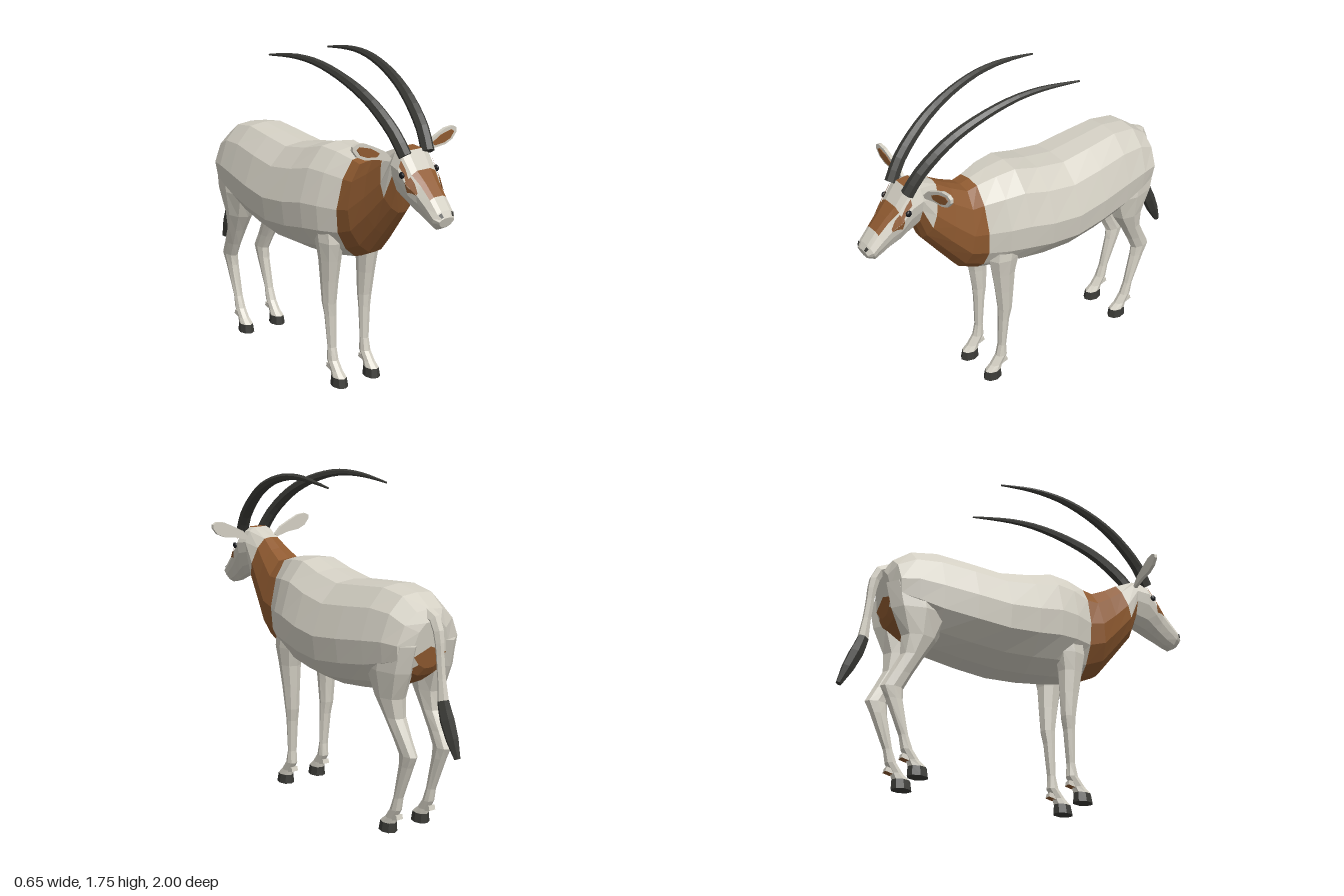
import * as THREE from 'three';

const mat = (name, color, side = THREE.FrontSide) =>
  Object.assign(new THREE.MeshStandardMaterial({ color, flatShading: true, side }), { name });

const V = (x, y, z) => new THREE.Vector3(x, y, z);

// Skin closed rings of points; paint(i, s) gives the material index of a strip cell.
function loft(rings, paint = () => 0, capPaint = () => 0) {
  const n = rings[0].length;
  const tris = [];
  const add = (m, a, b, c) => tris.push({ m, p: [a, b, c] });
  for (let i = 0; i < rings.length - 1; i++) {
    for (let s = 0; s < n; s++) {
      const t = (s + 1) % n, m = paint(i, Math.min(s, n - 1 - s));
      add(m, rings[i][s], rings[i + 1][s], rings[i + 1][t]);
      add(m, rings[i][s], rings[i + 1][t], rings[i][t]);
    }
  }
  [0, rings.length - 1].forEach((e) => {
    const ring = rings[e];
    const mid = ring.reduce((a, p) => a.add(p), V(0, 0, 0)).divideScalar(n);
    for (let s = 0; s < n; s++) {
      const t = (s + 1) % n, m = capPaint(e, Math.min(s, n - 1 - s));
      if (e === 0) add(m, mid, ring[s], ring[t]);
      else add(m, mid, ring[t], ring[s]);
    }
  });
  // turn the faces outward
  const volume = tris.reduce((v, { p }) => v + p[0].dot(p[1].clone().cross(p[2])), 0);
  if (volume < 0) tris.forEach(({ p }) => p.reverse());
  tris.sort((a, b) => a.m - b.m);
  const geo = new THREE.BufferGeometry().setFromPoints(tris.flatMap(({ p }) => p));
  tris.forEach(({ m }, i) => {
    const g = geo.groups[geo.groups.length - 1];
    if (g && g.materialIndex === m) g.count += 3;
    else geo.addGroup(i * 3, 3, m);
  });
  geo.computeVertexNormals();
  return geo;
}

// Half cross-sections: [share of half width, share of the way from top to bottom]
const BODY = [[0, 0], [0.42, 0.02], [0.78, 0.19], [1, 0.48], [0.94, 0.71], [0.62, 0.89], [0.25, 0.99], [0, 1]];
const HEAD = [[0, 0], [0.4, 0], [0.72, 0.08], [1, 0.32], [0.92, 0.55], [0.65, 0.84], [0.3, 1], [0, 1]];

// A symmetric ring from [top z, top y, bottom z, bottom y, half width]
function section([tz, ty, bz, by, w], profile) {
  const half = profile.map(([f, t]) => V(f * w, ty + (by - ty) * t, tz + (bz - tz) * t));
  const other = half.slice(1, -1).reverse().map((p) => V(-p.x, p.y, p.z));
  return [...half, ...other];
}

// A tapering tube along a curve; radii are spread evenly along it.
function taper(points, radii, steps, sides) {
  const curve = new THREE.CatmullRomCurve3(points);
  const { normals, binormals } = curve.computeFrenetFrames(steps);
  const rings = [];
  for (let i = 0; i <= steps; i++) {
    const f = (i / steps) * (radii.length - 1), k = Math.min(Math.floor(f), radii.length - 2);
    const r = THREE.MathUtils.lerp(radii[k], radii[k + 1], f - k);
    const c = curve.getPointAt(i / steps);
    rings.push(Array.from({ length: sides }, (_, s) => {
      const a = (s / sides) * Math.PI * 2;
      return c.clone().addScaledVector(normals[i], Math.cos(a) * r).addScaledVector(binormals[i], Math.sin(a) * r);
    }));
  }
  return loft(rings);
}

const BODY_RINGS = [
  [-0.795, 1.11, -0.765, 0.87, 0.11], [-0.765, 1.165, -0.74, 0.83, 0.195], [-0.67, 1.232, -0.65, 0.77, 0.22],
  [-0.53, 1.255, -0.53, 0.715, 0.237], [-0.35, 1.238, -0.35, 0.685, 0.258], [-0.17, 1.22, -0.17, 0.665, 0.268],
  [0, 1.25, 0, 0.67, 0.26], [0.14, 1.29, 0.14, 0.685, 0.242], [0.25, 1.282, 0.24, 0.7, 0.215], [0.355, 1.258, 0.345, 0.72, 0.165],
];
const NECK_RINGS = [BODY_RINGS[9], [0.41, 1.245, 0.46, 0.775, 0.158], [0.5, 1.29, 0.56, 0.9, 0.13], [0.58, 1.34, 0.67, 1.04, 0.105]];
const HEAD_RINGS = [
  [0.69, 1.385, 0.7, 1.135, 0.1], [0.755, 1.38, 0.77, 1.11, 0.11], [0.82, 1.295, 0.81, 1.09, 0.102],
  [0.87, 1.248, 0.855, 1.068, 0.08], [0.93, 1.188, 0.9, 1.045, 0.07], [0.982, 1.13, 0.945, 1.03, 0.066], [1, 1.1, 0.983, 1.05, 0.046],
];

// Legs: [height, front z, back z, centre x, half width]; the last two rings are the hoof
const FRONT_LEG = [
  [0.95, 0.31, 0.1, 0.12, 0.07], [0.8, 0.325, 0.145, 0.125, 0.066], [0.7, 0.305, 0.168, 0.122, 0.055],
  [0.58, 0.285, 0.175, 0.12, 0.045], [0.45, 0.266, 0.185, 0.117, 0.038], [0.38, 0.262, 0.2, 0.113, 0.033],
  [0.2, 0.262, 0.218, 0.108, 0.026], [0.13, 0.28, 0.212, 0.108, 0.029], [0.08, 0.318, 0.245, 0.108, 0.03],
  [0.05, 0.352, 0.253, 0.108, 0.036], [0, 0.362, 0.25, 0.108, 0.042],
];
const HIND_LEG = [
  [1.0, -0.48, -0.808, 0.125, 0.08], [0.86, -0.46, -0.778, 0.13, 0.082], [0.72, -0.53, -0.718, 0.125, 0.066],
  [0.62, -0.595, -0.718, 0.12, 0.05], [0.52, -0.65, -0.768, 0.115, 0.038], [0.44, -0.69, -0.81, 0.11, 0.033],
  [0.38, -0.688, -0.78, 0.108, 0.031], [0.2, -0.652, -0.702, 0.108, 0.026], [0.13, -0.625, -0.69, 0.108, 0.029],
  [0.08, -0.588, -0.66, 0.108, 0.03], [0.05, -0.55, -0.65, 0.108, 0.036], [0, -0.542, -0.652, 0.108, 0.042],
];

export function createModel() {
  const white = mat('cream coat', 0xd3cfc3);
  const brown = mat('russet coat', 0x8f5a30, THREE.DoubleSide);
  const dark = mat('horn and hoof', 0x3b3b37, THREE.DoubleSide);
  const black = mat('eye', 0x14161b);
  const model = new THREE.Group();
  const put = (name, geo, material, parent = model) => {
    const mesh = new THREE.Mesh(geo, material);
    mesh.name = name;
    parent.add(mesh);
    return mesh;
  };
  const coat = [white, brown];

  // Trunk, with russet between the thighs
  put('body', loft(BODY_RINGS.map((r) => section(r, BODY)),
    (i, m) => (i < 2 && m >= 5 ? 1 : 0), (e, m) => (e === 0 && m >= 4 ? 1 : 0)), coat);
  put('neck', loft(NECK_RINGS.map((r) => section(r, BODY))), brown);

  // Head, with russet throat, forehead spot and blaze
  const headRings = [section(NECK_RINGS[3], BODY), ...HEAD_RINGS.map((r) => section(r, HEAD))];
  put('head', loft(headRings, (i, m) =>
    ((i === 0 && m >= 4) || (i === 1 && m === 0) || ((i === 3 || i === 4) && m <= 1) ? 1 : 0)), coat);

  // A point on the head's skin: u along the rings, v down the section
  const skin = (u, v, side) => {
    const i = Math.min(Math.floor(u), headRings.length - 2), j = Math.floor(v);
    const across = (ring) => ring[j].clone().lerp(ring[j + 1], v - j);
    const p = across(headRings[i]).lerp(across(headRings[i + 1]), u - i);
    return V((p.x + 0.004) * side, p.y + 0.002, p.z + 0.004);
  };
  // A painted strip on the skin from rows of [u, v start, v end]
  const strip = (rows, side) => {
    const pts = [];
    for (let k = 0; k < rows.length - 1; k++) {
      const [a, b] = [rows[k], rows[k + 1]];
      const q = [skin(a[0], a[1], side), skin(a[0], a[2], side), skin(b[0], b[2], side), skin(b[0], b[1], side)];
      const [p0, p1, p2, p3] = side > 0 ? q : [...q].reverse();
      pts.push(p0, p1, p2, p0, p2, p3);
    }
    const geo = new THREE.BufferGeometry().setFromPoints(pts);
    geo.computeVertexNormals();
    return geo;
  };

  const earOutline = [[0.09, 1.335], [0.13, 1.375], [0.19, 1.405], [0.25, 1.432], [0.3, 1.437], [0.322, 1.425], [0.323, 1.405],
    [0.295, 1.37], [0.25, 1.35], [0.18, 1.342], [0.1, 1.32]];
  const earInner = [[0.165, 1.372], [0.22, 1.404], [0.285, 1.421], [0.303, 1.41], [0.28, 1.378], [0.24, 1.362], [0.18, 1.356]];
  const hornPath = [[0.07, 1.36, 0.765], [0.088, 1.46, 0.7], [0.115, 1.59, 0.55], [0.14, 1.67, 0.39], [0.162, 1.722, 0.2],
    [0.175, 1.732, 0.05], [0.184, 1.722, -0.08], [0.188, 1.705, -0.2]];

  for (const side of [1, -1]) {
    const label = side > 0 ? 'left' : 'right';
    const plate = (pts, depth, z) => new THREE.ExtrudeGeometry(
      new THREE.Shape(pts.map(([x, y]) => new THREE.Vector2(x * side, y))), { depth, bevelEnabled: false }).translate(0, 0, z);

    put(label + 'Horn', taper(hornPath.map(([x, y, z]) => V(x * side, y, z)), [0.034, 0.032, 0.027, 0.021, 0.014, 0.005], 18, 7), dark);
    put(label + 'Ear', plate(earOutline, 0.018, 0.67), white);
    put(label + 'InnerEar', plate(earInner, 0.004, 0.688), brown);

    // Face markings
    put(label + 'BrowStripe', strip([[2, 2.3, 2.75], [2.45, 2.3, 2.7], [3, 2.5, 2.95]], side), brown);
    put(label + 'CheekStripe', strip([[2.8, 2.95, 2.98], [3, 2.2, 2.98], [3.5, 2.3, 2.98], [4, 2.75, 2.98]], side), brown);
    put(label + 'CheekPoint', strip([[2.8, 3, 3.25], [3, 3, 3.75], [3.5, 3, 3.3], [4, 3, 3.05]], side), brown);
    put(label + 'Nostril', strip([[6.2, 1.05, 1.95], [6.85, 1.1, 1.9]], side), dark);
    const eye = put(label + 'Eye', new THREE.IcosahedronGeometry(0.017, 1), black);
    eye.position.copy(skin(2.4, 2.9, side));
    eye.scale.x = 0.6;

    // Legs, hooves and dewclaws
    for (const [kind, rows] of [['Front', FRONT_LEG], ['Hind', HIND_LEG]]) {
      const leg = new THREE.Group();
      leg.name = label + kind + 'Leg';
      model.add(leg);
      const rings = rows.map(([y, zf, zb, x, w]) => Array.from({ length: 8 }, (_, s) => {
        const a = (s / 8) * Math.PI * 2;
        return V((x + Math.cos(a) * w) * side, y, (zf + zb) / 2 + Math.sin(a) * (zf - zb) / 2);
      }));
      put('leg', loft(rings.slice(0, -1)), white, leg);
      put('hoof', loft(rings.slice(-2)), dark, leg);
      const claw = put('dewclaw', new THREE.BoxGeometry(0.04, 0.025, 0.04), [white, white, white, brown, white, white], leg);
      claw.position.set(0.108 * side, 0.09, rows[rows.length - 3][2] - 0.008);
      claw.rotation.x = 0.25;
    }
  }

  // Tail and tuft
  put('tail', taper([V(0, 1.14, -0.75), V(0, 1.115, -0.81), V(0, 1.04, -0.835), V(0, 0.9, -0.852), V(0, 0.72, -0.875)],
    [0.035, 0.028, 0.022, 0.022, 0.03], 8, 6), white);
  put('tailTuft', taper([V(0, 0.73, -0.873), V(0, 0.67, -0.893), V(0, 0.56, -0.94), V(0, 0.46, -0.985)],
    [0.03, 0.038, 0.033, 0.016], 6, 6), dark);

  return model;
}
